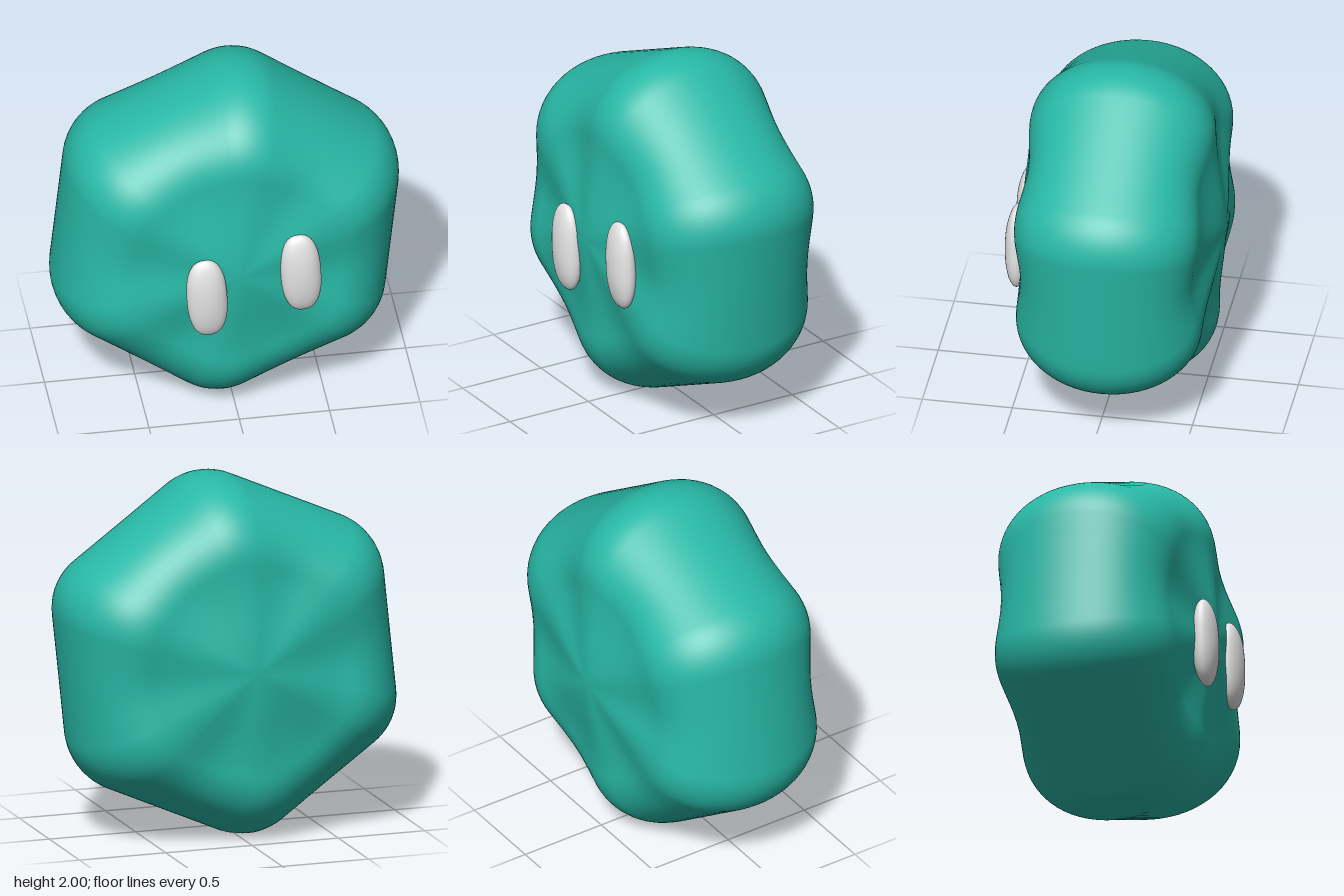
import * as THREE from 'three';
import { mergeVertices } from 'three/addons/utils/BufferGeometryUtils.js';

const TILT = THREE.MathUtils.degToRad(84); // direction of the top corner
const CORNER_DIST = 0.695, CORNER_R = 0.325, APOTHEM = 0.925;
const CENTRE_Y = 0.985, CENTRE_Z = -0.035;

// Rounded hexagon, counter-clockwise, centred on the origin
function hexOutline(arcSteps = 10, edgeSteps = 8) {
  const pts = [];
  const arcPoint = (k, t) => {
    const a = TILT + k * Math.PI / 3, b = a + (t - 0.5) * Math.PI / 3;
    return new THREE.Vector2(
      CORNER_DIST * Math.cos(a) + CORNER_R * Math.cos(b),
      CORNER_DIST * Math.sin(a) + CORNER_R * Math.sin(b));
  };
  for (let k = 0; k < 6; k++) {
    for (let i = 0; i <= arcSteps; i++) pts.push(arcPoint(k, i / arcSteps));
    const from = arcPoint(k, 1), to = arcPoint(k + 1, 0);
    for (let i = 1; i < edgeSteps; i++) pts.push(from.clone().lerp(to, i / edgeSteps));
  }
  return pts;
}

// Half profile from the face centre to the rim: scale, depth, edge dip
function halfProfile() {
  const rows = [];
  const inset = 0.37 / APOTHEM, inner = 1 - inset;
  for (let i = 0; i < 12; i++) {
    const s = i / 12; // gently domed face
    rows.push([inner * s, 0.51 + 0.025 * (1 + Math.cos(Math.PI * s)), s * s]);
  }
  for (let i = 0; i <= 16; i++) {
    const f = (1 - i / 16) * Math.PI / 2; // round side
    rows.push([1 - inset * (1 - Math.cos(f)), 0.51 * Math.sin(f), Math.sin(f) ** 2]);
  }
  return rows;
}

function bodyGeometry() {
  const outline = hexOutline(), front = halfProfile();
  const back = front.slice(0, -1).reverse().map(([s, z, d]) => [s, -z, d]);
  const rows = [...front, ...back], n = outline.length;
  const pos = [], index = [];
  for (const [s, z, dip] of rows) {
    for (const p of outline) {
      // The rim sinks slightly between the corners
      const mid = Math.sin(3 * (Math.atan2(p.y, p.x) - TILT)) ** 2;
      pos.push(p.x * s, Math.max(0, p.y * s + CENTRE_Y), z * (1 - 0.065 * dip * mid) + CENTRE_Z);
    }
  }
  for (let i = 0; i < rows.length - 1; i++) {
    for (let j = 0; j < n; j++) {
      const a = i * n + j, b = i * n + (j + 1) % n, c = a + n, d = b + n;
      if (i < rows.length - 2) index.push(a, c, b);
      else index.push(a, c, b);
      if (i > 0 && i < rows.length - 2) index.push(b, c, d);
      else if (i === 0) index.push(b, c, d);
    }
  }
  let g = new THREE.BufferGeometry();
  g.setAttribute('position', new THREE.Float32BufferAttribute(pos, 3));
  g.setIndex(index);
  g = mergeVertices(g, 1e-5);
  g.computeVertexNormals();
  return g;
}

// Upright pebble with a slightly squared outline
function eyeGeometry() {
  const g = new THREE.SphereGeometry(1, 32, 24);
  const p = g.attributes.position;
  for (let i = 0; i < p.count; i++) {
    const x = p.getX(i), y = p.getY(i), z = p.getZ(i);
    const e = 2.5, r = Math.hypot(x, y);
    const k = r > 1e-6 ? r / (Math.abs(x) ** e + Math.abs(y) ** e) ** (1 / e) : 1;
    p.setXYZ(i, x * k * 0.112, y * k * 0.25, z * 0.07);
  }
  const merged = mergeVertices(g.deleteAttribute('uv').deleteAttribute('normal'), 1e-5);
  merged.computeVertexNormals();
  return merged;
}

export function createModel() {
  const group = new THREE.Group();
  group.name = 'hexagonCharacter';
  const teal = new THREE.MeshStandardMaterial({ color: 0x28b8a6 });
  teal.name = 'teal';
  const paleGrey = new THREE.MeshStandardMaterial({ color: 0xe4e4e4 });
  paleGrey.name = 'paleGrey';

  const body = new THREE.Mesh(bodyGeometry(), teal);
  body.name = 'body';
  group.add(body);

  const eye = eyeGeometry();
  for (const [name, x, y, z] of [['rightEye', -0.183, 0.87, 0.525], ['leftEye', 0.341, 0.962, 0.497]]) {
    const mesh = new THREE.Mesh(eye, paleGrey);
    mesh.name = name;
    mesh.position.set(x, y, z);
    mesh.rotation.z = 0.06;
    group.add(mesh);
  }
  return group;
}
